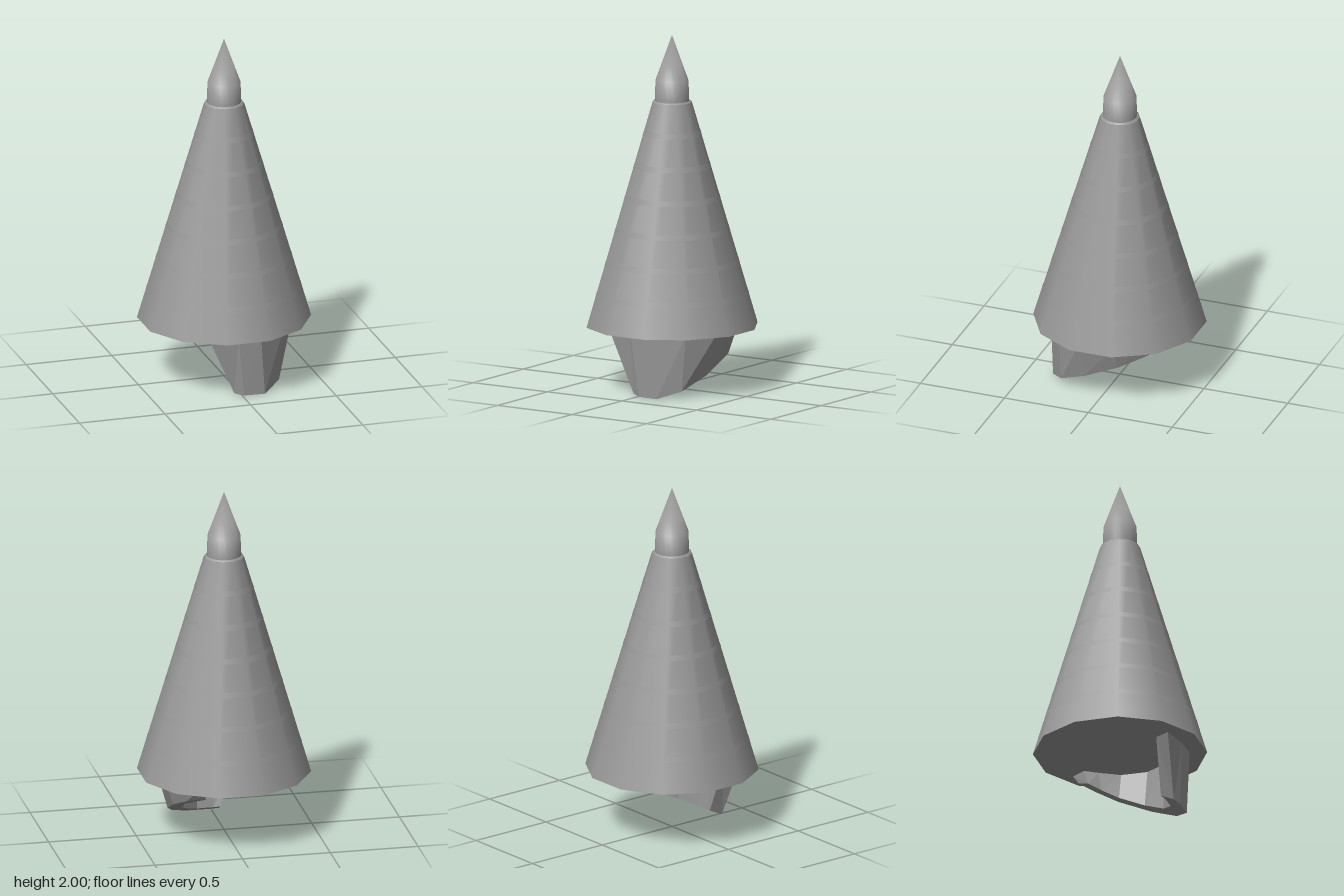
import * as THREE from 'three';

const SIDES = 12;
const TURN = Math.PI / 12; // puts a flat side towards each axis
const BASE_Y = 0.355, TOP_Y = 1.62, BASE_R = 0.486, TOP_R = 0.112;
const grey = new THREE.MeshStandardMaterial({ color: 0x989898 });
const facetedGrey = new THREE.MeshStandardMaterial({ color: 0x989898, flatShading: true });

function part(name, geometry, material = grey) {
  const mesh = new THREE.Mesh(geometry, material);
  mesh.name = name;
  return mesh;
}

function frustum(rTop, rBottom, y0, y1, open = false) {
  return new THREE.CylinderGeometry(rTop, rBottom, y1 - y0, SIDES, 1, open, TURN)
    .translate(0, (y0 + y1) / 2, 0);
}

// Radius of the cone wall at a height
const wallRadius = (y) => THREE.MathUtils.mapLinear(y, BASE_Y, TOP_Y, BASE_R, TOP_R);

// Half sphere drawn up to a point; it keeps the round shading of the sphere
function tipGeometry() {
  const profile = [[0, 2], [0.061, 1.83], [0.092, 1.745], [0.097, TOP_Y]];
  const rows = profile.length - 1, columns = 24;
  const geometry = new THREE.SphereGeometry(1, columns, rows, 0, Math.PI * 2, 0, Math.PI / 2);
  const position = geometry.attributes.position;
  for (let i = 0; i < position.count; i++) {
    const row = Math.floor(i / (columns + 1));
    const [r, y] = profile[row];
    const scale = row ? r / Math.sin((row / rows) * Math.PI / 2) : 0;
    position.setXYZ(i, position.getX(i) * scale, y, position.getZ(i) * scale);
  }
  return geometry;
}

// Curved thick blade, cut along a slanting plane that is lowest at the front
function bladeGeometry() {
  // Outer wall from back to front: top x, top z, bottom x, bottom z
  const sections = [
    [0.22, -0.34, 0.2, -0.3],
    [0.28, -0.25, 0.26, -0.22],
    [0.365, -0.1, 0.31, -0.1],
    [0.37, 0.1, 0.3, 0.1],
    [0.27, 0.265, 0.24, 0.26],
    [0.1, 0.375, 0.13, 0.35],
    [-0.03, 0.37, 0.01, 0.347],
    [-0.195, 0.335, -0.04, 0.325],
  ];
  const cutY = (z) => 0.46 * (0.35 - z);
  const inner = 0.76;
  const positions = [], index = [];
  for (const [tx, tz, bx, bz] of sections) {
    positions.push(
      tx, BASE_Y + 0.003, tz,
      bx, cutY(bz), bz,
      bx * inner, cutY(bz * inner), bz * inner,
      tx * inner, BASE_Y + 0.003, tz * inner,
    );
  }
  const quad = (a, b, c, d) => index.push(a, b, c, a, c, d);
  const last = (sections.length - 1) * 4;
  for (let i = 0; i < last; i += 4) {
    for (let j = 0; j < 4; j++) {
      const k = (j + 1) % 4;
      quad(i + j, i + 4 + j, i + 4 + k, i + k);
    }
  }
  quad(0, 1, 2, 3);
  quad(last + 3, last + 2, last + 1, last);

  const geometry = new THREE.BufferGeometry();
  geometry.setAttribute('position', new THREE.Float32BufferAttribute(positions, 3));
  geometry.setIndex(index);
  const flat = geometry.toNonIndexed();
  flat.computeVertexNormals();
  return flat;
}

export function createModel() {
  const model = new THREE.Group();
  model.name = 'spike';

  // Tall tapering body
  model.add(part('coneBody', frustum(TOP_R, BASE_R, BASE_Y, TOP_Y)));

  // Six thin bands lying almost flush with the body
  const rings = new THREE.Group();
  rings.name = 'rings';
  for (let i = 0; i < 6; i++) {
    const y0 = 0.525 + i * 0.182, y1 = y0 + 0.03;
    const proud = 0.001;
    rings.add(part('ring', frustum(wallRadius(y1) + proud, wallRadius(y0) + proud, y0, y1, true)));
  }
  model.add(rings);

  // Narrow lip and pointed tip
  model.add(part('collar', frustum(0.102, 0.11, TOP_Y, TOP_Y + 0.008)));
  model.add(part('tip', tipGeometry()));

  // Slanted blade below the body
  model.add(part('lowerBlade', bladeGeometry(), facetedGrey));

  return model;
}
